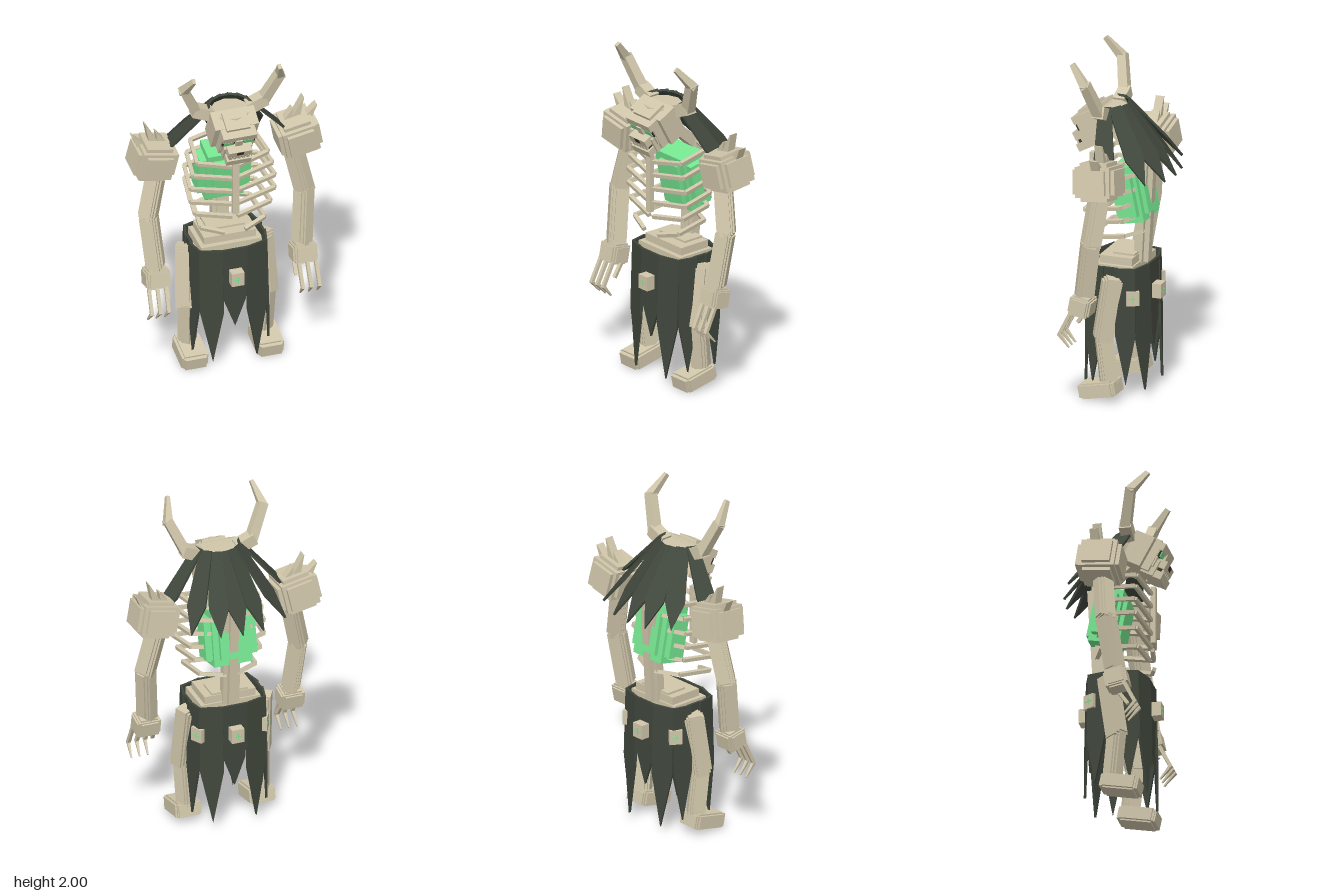
import * as THREE from 'three';

const mat = (name, color) => Object.assign(new THREE.MeshStandardMaterial({ color }), { name });
const V = (x, y, z) => new THREE.Vector3(x, y, z);

export function createModel() {
  const bone = mat('bone', 0xd0c6aa);
  const cloth = mat('dark cloth', 0x40473c);
  const glow = mat('green glow', 0x76e691);
  const dark = mat('dark socket', 0x3a342c);

  const root = new THREE.Group();
  const group = (name, parent = root, x = 0, y = 0, z = 0) => {
    const g = new THREE.Group();
    g.name = name;
    g.position.set(x, y, z);
    parent.add(g);
    return g;
  };
  const add = (parent, name, geo, m) => {
    const mesh = new THREE.Mesh(geo, m);
    mesh.name = name;
    parent.add(mesh);
    return mesh;
  };
  const box = (parent, name, m, w, h, d, x = 0, y = 0, z = 0) => {
    const b = add(parent, name, new THREE.BoxGeometry(w, h, d), m);
    b.position.set(x, y, z);
    return b;
  };
  // box with an inset raised plate on every face
  const plated = (parent, name, m, w, h, d, e = 0.02, k = 0.7) => {
    box(parent, name, m, w - e, h - e, d - e);
    box(parent, name + 'Plate', m, w, h * k, d * k);
    box(parent, name + 'Plate', m, w * k, h, d * k);
    box(parent, name + 'Plate', m, w * k, h * k, d);
  };
  // box stretched between two points, optionally tapering towards b
  const beam = (parent, name, a, b, w, d = w, taperX = 1, taperZ = taperX) => {
    const len = a.distanceTo(b);
    const geo = new THREE.BoxGeometry(w, len, d);
    const p = geo.attributes.position;
    for (let i = 0; i < p.count; i++)
      if (p.getY(i) > 0) p.setXYZ(i, p.getX(i) * taperX, p.getY(i), p.getZ(i) * taperZ);
    geo.computeVertexNormals();
    const mesh = add(parent, name, geo, bone);
    mesh.position.copy(a).lerp(b, 0.5);
    mesh.quaternion.setFromUnitVectors(V(0, 1, 0), b.clone().sub(a).normalize());
    return mesh;
  };
  // limb bone: crossed boxes giving a stepped section
  const limb = (parent, name, a, b, w) => {
    beam(parent, name, a, b, w, w * 0.6);
    beam(parent, name + 'Ridge', a.clone().lerp(b, 0.06), b.clone().lerp(a, 0.06), w * 0.5, w);
    beam(parent, name + 'Core', a.clone().lerp(b, 0.03), b.clone().lerp(a, 0.03), w * 0.8, w * 0.8);
  };
  // flat pointed strip hanging from base to tip, its face turned to angle a
  const blade = (parent, name, base, tip, w, a, top, wide) => {
    const L = base.distanceTo(tip), t = 0.014;
    const s = new THREE.Shape([[-w * top / 2, 0], [w * top / 2, 0], [w / 2, L * wide], [0, L], [-w / 2, L * wide]]
      .map(([x, y]) => new THREE.Vector2(x, y)));
    const geo = new THREE.ExtrudeGeometry(s, { depth: t, bevelEnabled: false });
    geo.translate(0, 0, -t / 2);
    const mesh = add(parent, name, geo, cloth);
    const d = tip.clone().sub(base).normalize();
    const side = V(Math.cos(a), 0, -Math.sin(a));
    side.addScaledVector(d, -d.dot(side)).normalize();
    mesh.quaternion.setFromRotationMatrix(new THREE.Matrix4().makeBasis(side, d, side.clone().cross(d)));
    mesh.position.copy(base);
  };

  // head, tilted forward
  const head = group('head', root, 0, 1.575, 0.16);
  head.rotation.x = 0.5;
  box(head, 'skull', bone, 0.26, 0.19, 0.12, 0, 0, -0.023);
  box(head, 'skullFront', bone, 0.2, 0.185, 0.05, 0, 0, 0.06);
  box(head, 'crownPlate', bone, 0.14, 0.02, 0.12, 0, 0.103, 0);
  box(head, 'backPlate', bone, 0.14, 0.12, 0.012, 0, 0.01, -0.088);
  box(head, 'brow', bone, 0.2, 0.045, 0.05, 0, 0.072, 0.08);
  box(head, 'face', bone, 0.19, 0.11, 0.04, 0, 0, 0.075);
  box(head, 'noseBridge', bone, 0.04, 0.05, 0.03, 0, 0.035, 0.098);
  box(head, 'muzzle', bone, 0.14, 0.05, 0.09, 0, -0.015, 0.11);
  box(head, 'noseHole', dark, 0.04, 0.025, 0.008, 0, -0.006, 0.154);
  box(head, 'mouth', dark, 0.12, 0.03, 0.075, 0, -0.05, 0.11);
  box(head, 'jaw', bone, 0.145, 0.045, 0.115, 0, -0.083, 0.108);
  for (let i = -2; i <= 2; i++) box(head, 'tooth', bone, 0.017, 0.03, 0.012, i * 0.026, -0.052, 0.15);
  for (const s of [-1, 1]) {
    box(head, 'eyeSocket', dark, 0.075, 0.038, 0.008, s * 0.06, 0.028, 0.094);
    box(head, 'eye', glow, 0.056, 0.03, 0.008, s * 0.06, 0.03, 0.1);
    box(head, 'jawHinge', bone, 0.025, 0.1, 0.08, s * 0.07, -0.055, 0.075);
  }
  const nape = add(root, 'backOfSkull', new THREE.CylinderGeometry(0.113, 0.1, 0.11, 10), bone);
  nape.position.set(0, 1.625, 0.105);

  // hair fan behind the head
  const hair = group('hair');
  const locks = [[0, 0, 1.31, -0.305], [0.45, 0.13, 1.31, -0.29], [0.9, 0.285, 1.33, -0.23], [1.4, 0.42, 1.35, -0.03]];
  for (const [th, x, y, z] of locks)
    for (const s of th ? [-1, 1] : [1])
      blade(hair, 'hairLock', V(s * 0.12 * Math.sin(th), 1.705, 0.1 - 0.11 * Math.cos(th)), V(s * x, y, z),
        0.115, Math.PI - s * th, 0.65, 0.66);

  // spine, neck and glowing core
  const torso = group('torso');
  beam(torso, 'spine', V(0, 0.78, -0.09), V(0, 1.42, -0.125), 0.1, 0.05);
  beam(torso, 'spineRidge', V(0, 0.78, -0.1), V(0, 1.4, -0.135), 0.05, 0.09);
  beam(torso, 'neck', V(0, 1.38, -0.12), V(0, 1.56, 0.08), 0.08, 0.06);
  box(torso, 'sternum', bone, 0.036, 0.35, 0.03, 0, 1.215, 0.2);
  const core = group('core', torso, 0, 1.195, -0.05);
  core.rotation.x = 0.2;
  box(core, 'coreBlock', glow, 0.23, 0.33, 0.15);
  box(core, 'coreSides', glow, 0.31, 0.25, 0.11);
  box(core, 'coreFront', glow, 0.16, 0.25, 0.2);

  // ribs
  const ribs = [[1.36, 0.21], [1.28, 0.235], [1.195, 0.25], [1.11, 0.25], [1.025, 0.225], [0.925, 0.19]];
  ribs.forEach(([y, w], i) => {
    for (const s of [-1, 1]) {
      const pts = [V(s * 0.03, y + 0.04, -0.12), V(s * w * 0.88, y + 0.045, -0.06),
        V(s * w, y + 0.02, 0.15), V(s * (i === 5 ? 0.06 : 0.015), y - 0.015, 0.19)];
      for (let k = 0; k < 3; k++) beam(torso, 'rib', pts[k], pts[k + 1], 0.022);
    }
  });

  // pelvis
  const pelvis = group('pelvis');
  box(pelvis, 'pelvisBase', bone, 0.36, 0.05, 0.24, 0, 0.765, 0.01);
  box(pelvis, 'pelvisPlate', bone, 0.31, 0.05, 0.2, 0, 0.81, 0);
  box(pelvis, 'pelvisCap', bone, 0.22, 0.03, 0.13, 0, 0.832, -0.03);

  // ragged eight-sided skirt, front and back alike
  const skirt = group('skirt');
  const T = 0.79;
  for (const f of [1, -1]) {
    const zc = (z) => 0.012 + f * z;
    const turn = (a) => (f > 0 ? a : Math.PI - a);
    blade(skirt, 'centrePanel', V(0, T, zc(0.178)), V(0, 0.275, zc(0.178)), 0.13, turn(0), 1.15, 0.66);
    for (const s of [-1, 1]) {
      blade(skirt, 'longPanel', V(s * 0.137, T, zc(0.16)), V(s * 0.13, 0.055, zc(0.18)), 0.135, turn(s * 0.31), 1, 0.56);
      blade(skirt, 'cornerPanel', V(s * 0.21, T, zc(0.09)), V(s * 0.225, 0.1, zc(0.1)), 0.115, turn(s * 1.33), 1, 0.58);
    }
  }
  for (const s of [-1, 1])
    blade(skirt, 'sidePanel', V(s * 0.215, T, 0.012), V(s * 0.2, 0.45, 0.012), 0.1, s * Math.PI / 2, 1, 0.6);
  // buckles with a small green cross
  for (const [x, z, a] of [[0, 0.215, 0], [0, -0.19, Math.PI], [0.185, -0.11, 2.1], [-0.185, -0.11, -2.1]]) {
    const b = group('buckle', skirt, x, 0.617, z);
    b.rotation.y = a;
    box(b, 'buckleBlock', bone, 0.075, 0.085, 0.075);
    box(b, 'buckleMark', glow, 0.05, 0.005, 0.004, 0, 0, 0.038);
    box(b, 'buckleMark', glow, 0.005, 0.04, 0.004, 0, 0, 0.038);
  }

  for (const s of [-1, 1]) {
    const P = (x, y, z) => V(s * x, y, z);
    // horn
    const horn = group('horn');
    beam(horn, 'hornBase', P(0.11, 1.66, 0.085), P(0.215, 1.705, 0.085), 0.07);
    beam(horn, 'hornMiddle', P(0.198, 1.69, 0.085), P(0.29, 1.89, 0.135), 0.058, 0.058, 0.9);
    beam(horn, 'hornTip', P(0.29, 1.865, 0.125), P(0.254, 1.99, 0.225), 0.048, 0.05, 0.4, 0.6);

    // shoulder with spikes
    const shoulder = group('shoulder', root, s * 0.428, 1.375, -0.005);
    shoulder.rotation.set(0.1, 0, s * 0.2);
    plated(shoulder, 'shoulderGuard', bone, 0.245, 0.22, 0.255, 0.045, 0.64);
    const spikes = [[0.415, 1.45, 0.47, 1.6], [0.48, 1.44, 0.548, 1.535], [0.37, 1.45, 0.405, 1.535]];
    for (const [bx, by, tx, ty] of spikes)
      beam(root, 'shoulderSpike', P(bx, by, -0.02), P(tx, ty, -0.02), 0.055, 0.05, 0.08, 1);

    // arm
    limb(root, 'upperArm', P(0.4, 1.3, 0), P(0.468, 0.99, 0.03), 0.105);
    limb(root, 'forearm', P(0.463, 1.02, 0.03), P(0.434, 0.68, 0.08), 0.105);
    const hand = group('hand', root, s * 0.437, 0.627, 0.09);
    hand.rotation.x = -0.2;
    plated(hand, 'palm', bone, 0.145, 0.12, 0.13);
    for (const x of [0.395, 0.445, 0.495]) {
      beam(root, 'finger', P(x, 0.59, 0.14), P(x + 0.003, 0.45, 0.21), 0.02);
      beam(root, 'claw', P(x + 0.003, 0.46, 0.21), P(x + 0.008, 0.385, 0.145), 0.02, 0.02, 0.4);
    }
    beam(root, 'thumb', P(0.385, 0.6, 0.07), P(0.38, 0.5, 0.14), 0.02);

    // leg and foot
    limb(root, 'thigh', P(0.225, 0.74, -0.01), P(0.24, 0.36, 0.045), 0.115);
    limb(root, 'shin', P(0.235, 0.42, 0.045), P(0.225, 0.09, 0.01), 0.1);
    const foot = group('foot', root, s * 0.225, 0.068, 0.065);
    foot.rotation.x = 0.2;
    plated(foot, 'footBlock', bone, 0.155, 0.09, 0.225, 0.02, 0.8);
  }
  return root;
}
